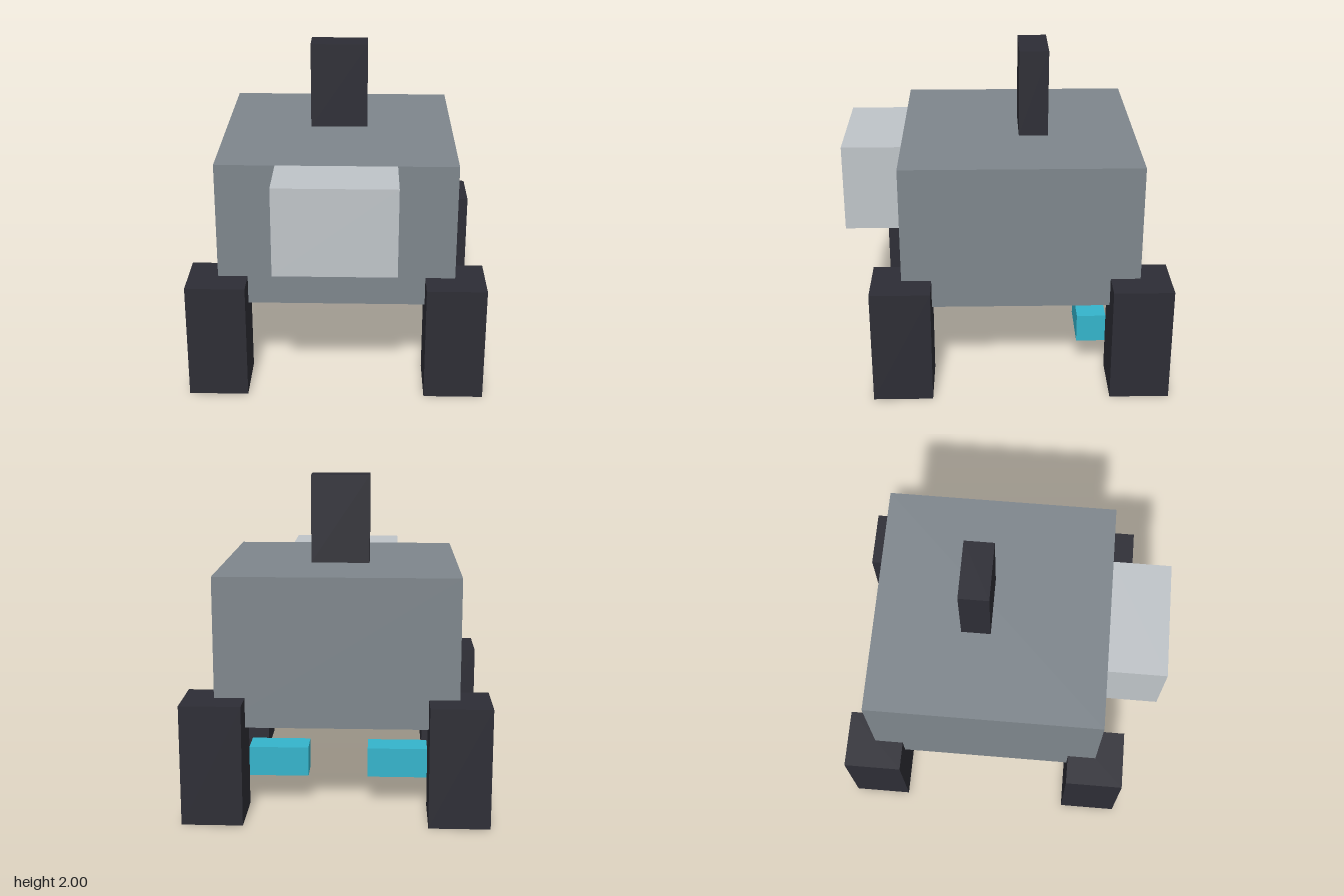
import * as THREE from 'three';

const U = 1 / 11; // block grid unit

function material(name, color) {
  const m = new THREE.MeshStandardMaterial({ color });
  m.name = name;
  return m;
}

export function createModel() {
  const model = new THREE.Group();
  model.name = 'blockCreature';

  const grey = material('bodyGrey', 0x7e868c);
  const pale = material('paleGrey', 0xbfc4c8);
  const dark = material('darkCharcoal', 0x2d2d35);
  const cyan = material('cyan', 0x34b4cb);

  // Box given by its ranges in grid units
  function block(name, mat, [x0, x1], [y0, y1], [z0, z1]) {
    const geo = new THREE.BoxGeometry((x1 - x0) * U, (y1 - y0) * U, (z1 - z0) * U);
    const mesh = new THREE.Mesh(geo, mat);
    mesh.name = name;
    mesh.position.set((x0 + x1) * U / 2, (y0 + y1) * U / 2, (z0 + z1) * U / 2);
    model.add(mesh);
  }

  block('body', grey, [-8, 8], [6, 16], [-9, 7]);
  block('head', pale, [-4, 4], [10, 16], [7, 11]);
  block('topPost', dark, [-2, 2], [16, 22], [-3, -1]);

  // Legs and inner bars, mirrored left and right
  for (const [side, s] of [['Left', 1], ['Right', -1]]) {
    const span = (a, b) => (s > 0 ? [a, b] : [-b, -a]);
    block('frontLeg' + side, dark, span(6, 10), [0, 8], [5, 9]);
    block('backLeg' + side, dark, span(6, 10), [0, 8], [-11, -7]);
    block('innerBar' + side, cyan, span(2, 6), [2, 4], [-7, -5]);
  }

  return model;
}
